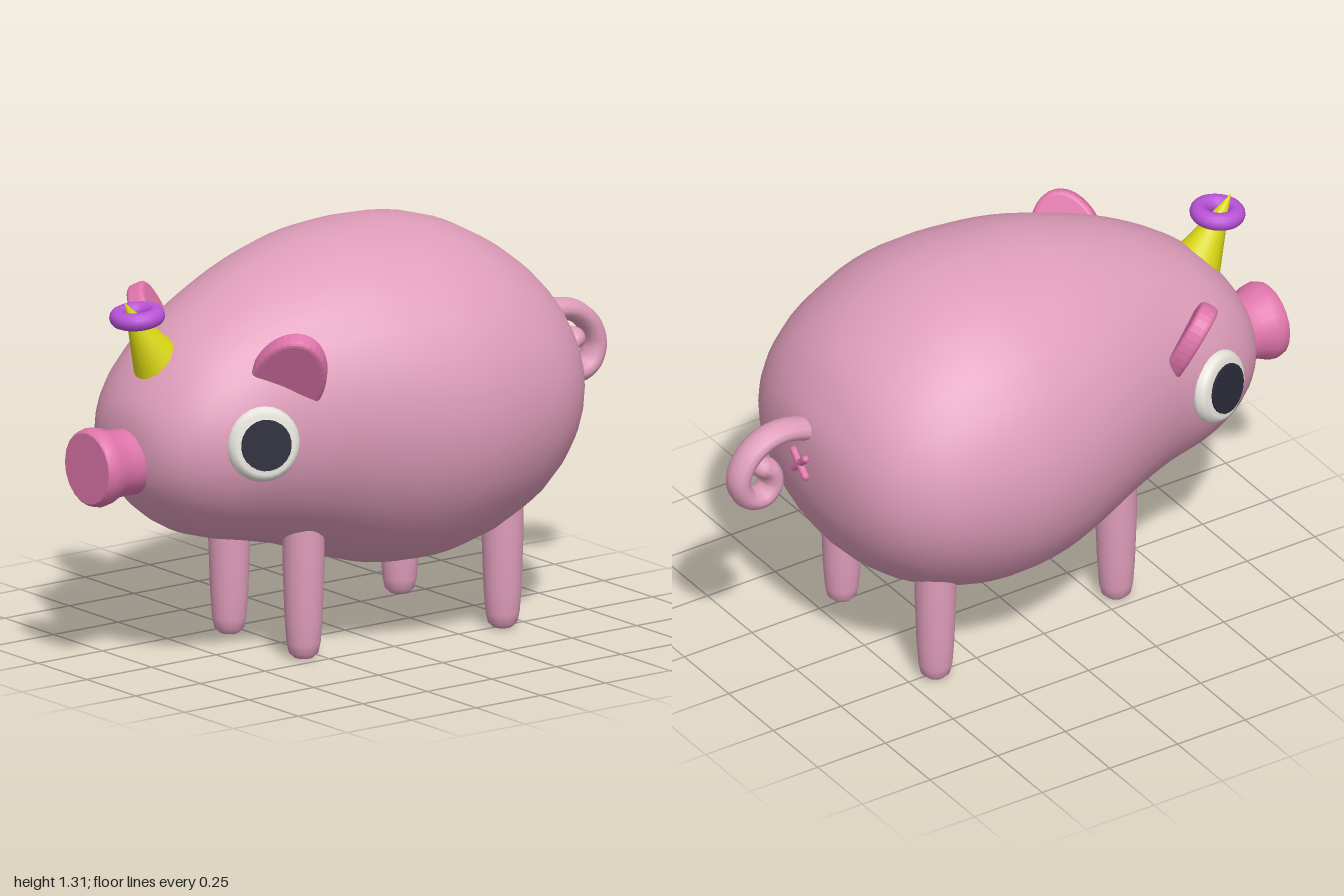
import * as THREE from 'three';

const mat = (name, color) => {
  const m = new THREE.MeshStandardMaterial({ color });
  m.name = name;
  return m;
};
const V2 = (pts) => pts.map(([x, y]) => new THREE.Vector2(x, y));
const V3 = (x, y, z) => new THREE.Vector3(x, y, z);

// Smooth body from elliptical rings: [z, top, bottom, half width], back to front
function bodyGeometry() {
  const st = [
    [-0.735, 0.79, 0.79, 0], [-0.725, 0.89, 0.66, 0.14], [-0.69, 0.975, 0.54, 0.29],
    [-0.62, 1.085, 0.42, 0.405], [-0.5, 1.185, 0.315, 0.495], [-0.34, 1.268, 0.243, 0.545],
    [-0.17, 1.302, 0.215, 0.565], [0, 1.302, 0.228, 0.542], [0.15, 1.288, 0.272, 0.5],
    [0.3, 1.25, 0.328, 0.445], [0.45, 1.195, 0.365, 0.387], [0.58, 1.125, 0.393, 0.355],
    [0.68, 1.055, 0.43, 0.318], [0.76, 0.975, 0.488, 0.268], [0.82, 0.89, 0.56, 0.195],
    [0.85, 0.82, 0.63, 0.11], [0.86, 0.72, 0.72, 0],
  ];
  const curve = (f) => new THREE.CatmullRomCurve3(st.map(f), false, 'catmullrom');
  const heights = curve(([z, t, b]) => V3(t, b, z));
  const widths = curve(([z, , , w]) => V3(w, 0, z));
  const rows = 48, n = 32, pos = [], idx = [];
  for (let i = 0; i <= rows; i++) {
    const h = heights.getPoint(i / rows);
    const w = widths.getPoint(i / rows).x;
    for (let j = 0; j < n; j++) {
      const a = (j / n) * Math.PI * 2;
      pos.push(w * Math.cos(a), (h.x + h.y) / 2 + ((h.x - h.y) / 2) * Math.sin(a), h.z);
      if (i < rows) {
        const k = i * n + j, l = i * n + ((j + 1) % n);
        idx.push(k, l, k + n, l, l + n, k + n);
      }
    }
  }
  const g = new THREE.BufferGeometry();
  g.setAttribute('position', new THREE.Float32BufferAttribute(pos, 3));
  g.setIndex(idx);
  g.computeVertexNormals();
  return g;
}

export function createModel() {
  const skin = mat('skin pink', 0xdf9dba);
  const deep = mat('deep pink', 0xdf75ab);
  const white = mat('eye white', 0xe6e4dc);
  const dark = mat('pupil dark', 0x2b2b3a);
  const yellow = mat('horn yellow', 0xd9d614);
  const purple = mat('ring purple', 0xb852d8);

  const model = new THREE.Group();
  model.name = 'pig';
  const add = (name, geo, material, parent = model) => {
    const m = new THREE.Mesh(geo, material);
    m.name = name;
    parent.add(m);
    return m;
  };

  add('body', bodyGeometry(), skin);

  // Flared snout
  const snout = add('snout', new THREE.LatheGeometry(V2([
    [0.105, 0.8], [0.104, 0.88], [0.107, 0.915], [0.122, 0.95], [0.125, 0.975],
    [0.118, 0.995], [0.112, 1], [0.112, 1], [0, 1]]), 20), deep);
  snout.rotation.x = Math.PI / 2;
  snout.position.y = 0.672;

  // Legs, eyes and ears on both sides
  const legGeo = new THREE.LatheGeometry(V2([
    [0, 0], [0.03, 0.003], [0.046, 0.018], [0.053, 0.05], [0.059, 0.13], [0.065, 0.3], [0.065, 0.5]]), 18);
  const eyeGeo = new THREE.LatheGeometry(V2([
    [0, -0.03], [0.1, -0.025], [0.116, -0.008], [0.118, 0.006], [0.11, 0.025], [0.094, 0.036], [0, 0.04]]), 28);
  const pupilGeo = new THREE.CylinderGeometry(0.08, 0.08, 0.009, 24);

  const flap = new THREE.Shape();
  flap.moveTo(-0.1, -0.04);
  flap.lineTo(0.1, -0.04);
  flap.bezierCurveTo(0.11, 0.06, 0.06, 0.15, 0, 0.15);
  flap.bezierCurveTo(-0.06, 0.15, -0.11, 0.06, -0.1, -0.04);
  const earGeo = new THREE.ExtrudeGeometry(flap, {
    depth: 0.03, bevelSize: 0.015, bevelThickness: 0.015, bevelSegments: 3, curveSegments: 10 });
  earGeo.translate(0, 0, -0.015);

  for (const s of [1, -1]) {
    const side = s > 0 ? 'left' : 'right';
    add(side + 'FrontLeg', legGeo, skin).position.set(0.19 * s, 0, 0.305);
    add(side + 'BackLeg', legGeo, skin).position.set(0.263 * s, 0, -0.41);

    const eye = new THREE.Group();
    eye.name = side + 'Eye';
    eye.position.set(0.343 * s, 0.757, 0.578);
    eye.quaternion.setFromUnitVectors(V3(0, 1, 0), V3(0.92 * s, 0.11, 0.36).normalize());
    model.add(eye);
    add('eyeWhite', eyeGeo, white, eye);
    add('pupil', pupilGeo, dark, eye).position.y = 0.04;

    // Ear flap stands on a slanted base line and leans outward
    const along = V3(0.125 * s, -0.07, -0.19).normalize().multiplyScalar(s);
    const up = V3(0.1 * s, 0.125, -0.015);
    const face = along.clone().cross(up).normalize();
    up.crossVectors(face, along);
    const ear = add(side + 'Ear', earGeo, deep);
    ear.quaternion.setFromRotationMatrix(new THREE.Matrix4().makeBasis(along, up, face));
    ear.position.set(0.34 * s, 0.955, 0.475);
  }

  // Horn leaning forward, with a ring hung on it
  const tip = V3(0, 1.18, 0.855), lean = V3(0, 0.85, 0.527).normalize();
  const horn = add('horn', new THREE.ConeGeometry(0.097, 0.29, 24), yellow);
  horn.quaternion.setFromUnitVectors(V3(0, 1, 0), lean);
  horn.position.copy(tip).addScaledVector(lean, -0.145);
  const ring = add('hornRing', new THREE.TorusGeometry(0.059, 0.028, 14, 28), purple);
  ring.rotation.x = Math.PI / 2 + 0.1;
  ring.position.set(0, 1.128, 0.805);

  // Curly tail with a rounded tip
  const path = [[-0.68, 0.865], [-0.795, 0.896], [-0.875, 0.885], [-0.938, 0.837], [-0.965, 0.767],
    [-0.938, 0.703], [-0.882, 0.687], [-0.845, 0.725], [-0.853, 0.773], [-0.882, 0.795]]
    .map(([z, y]) => V3(0, y, z));
  const tail = new THREE.Group();
  tail.name = 'tail';
  tail.scale.x = 1.38;
  model.add(tail);
  add('tailCurl', new THREE.TubeGeometry(new THREE.CatmullRomCurve3(path), 48, 0.035, 12), skin, tail);
  add('tailTip', new THREE.SphereGeometry(0.035, 12, 8), skin, tail).position.copy(path[path.length - 1]);

  // Small crossed mark under the tail
  for (const s of [1, -1]) {
    const bar = add('rearMark', new THREE.CapsuleGeometry(0.013, 0.09, 4, 10), deep);
    bar.position.set(0, 0.755, -0.738);
    bar.rotation.z = (s * Math.PI) / 4;
  }
  return model;
}
